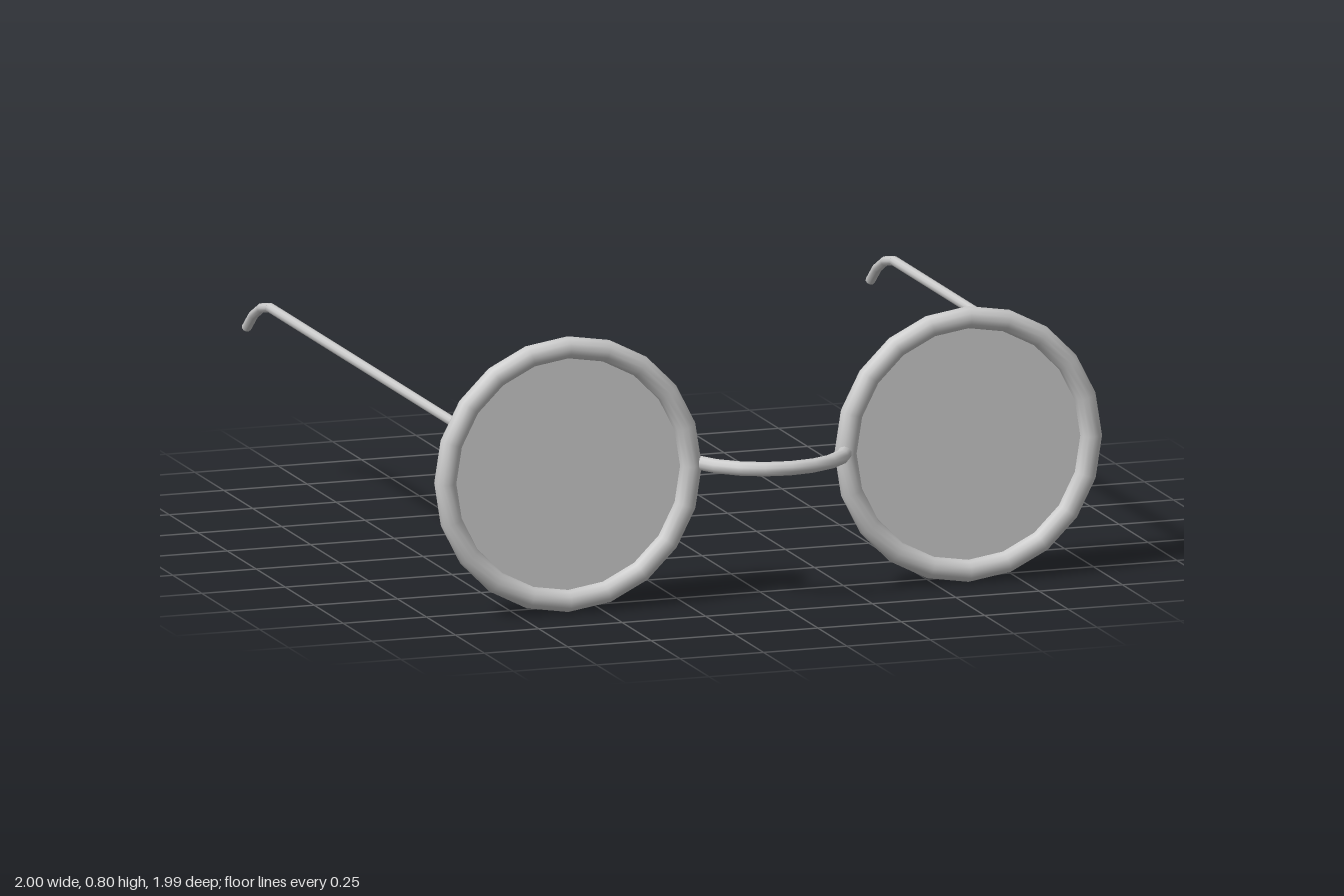
import * as THREE from 'three';

const grey = new THREE.MeshStandardMaterial({ color: 0xcccccc });
const thin = new THREE.MeshStandardMaterial({ color: 0xcccccc, side: THREE.DoubleSide });

function add(parent, name, geometry, material = grey) {
  const mesh = new THREE.Mesh(geometry, material);
  mesh.name = name;
  parent.add(mesh);
  return mesh;
}

// Round wire along a curve, closed by a flat disc at each end
function addWire(parent, name, curve, segments, radius, sides) {
  const wire = new THREE.Group();
  wire.name = name;
  parent.add(wire);
  add(wire, name + 'Tube', new THREE.TubeGeometry(curve, segments, radius, sides));
  for (const t of [0, 1]) {
    const cap = add(wire, name + 'End', new THREE.CircleGeometry(radius, sides), thin);
    const end = curve.getPointAt(t);
    cap.position.copy(end);
    cap.lookAt(end.clone().addScaledVector(curve.getTangentAt(t), t ? 1 : -1));
  }
}

// Arc of the nose bridge, bulging forward
class BridgeArc extends THREE.Curve {
  getPoint(t, target = new THREE.Vector3()) {
    const a = THREE.MathUtils.degToRad(70) * (2 * t - 1);
    return target.set(0.012 + 0.236 * Math.sin(a), 0.405, 0.739 + 0.236 * Math.cos(a));
  }
}

export function createModel() {
  const model = new THREE.Group();
  model.name = 'roundGlasses';

  for (const [side, s] of [['left', 1], ['right', -1]]) {
    // Round rim with its lens
    const rim = add(model, side + 'Rim', new THREE.TorusGeometry(0.368, 0.032, 12, 20));
    rim.position.set(0.6 * s, 0.4, 0.82);
    const lens = add(model, side + 'Lens', new THREE.CircleGeometry(0.36, 20), thin);
    lens.position.copy(rim.position);

    // Straight temple arm
    const x = 0.935 * s;
    const arm = new THREE.LineCurve3(
      new THREE.Vector3(x, 0.57, 0.82), new THREE.Vector3(x, 0.57, -0.785));
    addWire(model, side + 'Temple', arm, 1, 0.014, 10);

    // Ear hook bending down at the back
    const hook = new THREE.QuadraticBezierCurve3(
      new THREE.Vector3(x, 0.57, -0.785),
      new THREE.Vector3(x, 0.56, -0.9),
      new THREE.Vector3(x, 0.47, -0.99));
    addWire(model, side + 'EarHook', hook, 3, 0.014, 10);
  }

  // Nose bridge between the rims
  addWire(model, 'bridge', new BridgeArc(), 8, 0.021, 10);
  return model;
}
